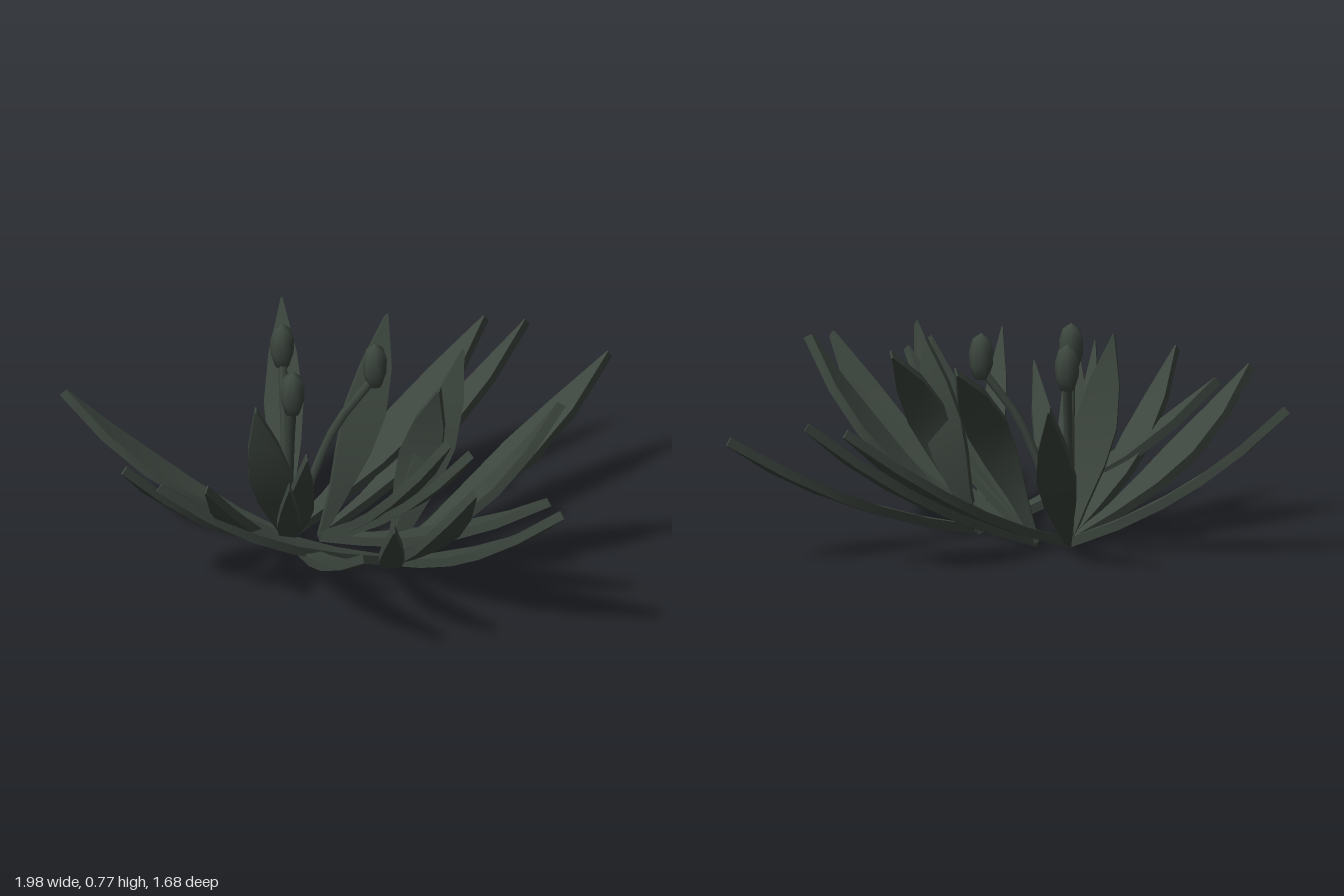
import * as THREE from 'three';
import { toCreasedNormals } from 'three/addons/utils/BufferGeometryUtils.js';

const foliage = new THREE.MeshStandardMaterial({ color: 0x3c453e });
foliage.name = 'dark green';

// Three crowns from which the leaves spread
const BASES = { A: [-0.205, -0.19], B: [-0.09, -0.18], C: [0.13, 0.02] };

// crown, tip x, tip y, tip z, widest width, then optionally roll about the length and bend
const LEAVES = [
  ['A', -0.16, 0.63, -0.83, 0.14], ['A', 0.56, 0.53, -0.79, 0.17],
  ['B', 0.70, 0.54, -0.73, 0.11], ['C', 0.98, 0.46, -0.61, 0.15],
  ['C', 0.73, 0.68, 0.16, 0.18], ['B', 0.18, 0.70, -0.53, 0.15, 2.41, 0.1],
  ['C', 0.42, 0.70, -0.24, 0.14, 2.29, 0.1], ['B', 0.65, 0.48, 0.51, 0.13],
  ['C', 0.67, 0.56, 0.76, 0.16], ['C', 0.37, 0.62, 0.68, 0.12],
  ['B', 0.31, 0.64, 0.34, 0.11], ['B', 0.39, 0.60, 0.35, 0.10],
  ['A', -0.04, 0.45, 0.81, 0.09], ['C', 0.07, 0.57, 0.82, 0.09],
  ['A', -0.20, 0.66, 0.43, 0.10], ['A', -0.27, 0.59, 0.51, 0.08],
  ['A', -0.56, 0.58, 0.48, 0.11], ['C', -0.71, 0.50, 0.30, 0.13],
  ['A', -0.83, 0.56, 0.27, 0.16], ['A', -0.98, 0.54, -0.37, 0.13],
  ['A', -0.35, 0.70, 0.13, 0.15, -0.35], ['C', 0.31, 0.70, 0.04, 0.15, -1.4],
];

// Position along the leaf and share of its widest width
const PROFILE = [[0, 0.13], [0.2, 0.42], [0.4, 0.82], [0.58, 1], [0.78, 0.72], [1, 0.04]];
const THICK = 0.033;

// Thick blade, bowed along its face and narrowing to a tip
function leafGeometry(bx, bz, x, y, z, width, roll = 0, bend = 0.055) {
  const base = new THREE.Vector3(bx, 0.016, bz);
  const chord = new THREE.Vector3(x, y, z).sub(base);
  const axis = chord.clone().normalize();
  const side = new THREE.Vector3(-chord.z, 0, chord.x).normalize().applyAxisAngle(axis, -roll);
  const up = side.clone().cross(axis);
  const pos = [];
  const index = [];
  PROFILE.forEach(([t, share], i) => {
    const centre = base.clone().addScaledVector(chord, t)
      .addScaledVector(up, -4 * bend * t * (1 - t));
    const tangent = chord.clone().addScaledVector(up, -4 * bend * (1 - 2 * t)).normalize();
    const normal = side.clone().cross(tangent);
    for (const [s, n] of [[1, 1], [-1, 1], [-1, -1], [1, -1]]) {
      const p = centre.clone()
        .addScaledVector(side, s * share * width / 2)
        .addScaledVector(normal, n * THICK / 2);
      pos.push(p.x, p.y, p.z);
    }
    if (i === 0) return;
    const a = (i - 1) * 4;
    for (let k = 0; k < 4; k++) {
      const k2 = (k + 1) % 4;
      index.push(a + k, a + 4 + k, a + k2, a + k2, a + 4 + k, a + 4 + k2);
    }
  });
  const e = (PROFILE.length - 1) * 4;
  index.push(0, 1, 2, 0, 2, 3, e, e + 2, e + 1, e, e + 3, e + 2);
  const geo = new THREE.BufferGeometry();
  geo.setAttribute('position', new THREE.Float32BufferAttribute(pos, 3));
  geo.setIndex(index);
  return toCreasedNormals(geo, 0.6);
}

// Bent stalk with an upright seed pod on its end
function budStalk(dx, dz, lean) {
  const group = new THREE.Group();
  group.name = 'budStalk';
  const [bx, bz] = BASES.A;
  const at = (r, y) => new THREE.Vector3(bx + dx * r * lean, y, bz + dz * r * lean);
  const path = new THREE.CatmullRomCurve3(
    [at(0, 0.015), at(0.2, 0.18), at(0.55, 0.45), at(0.85, 0.58), at(1, 0.64)]);
  const stalk = new THREE.Mesh(new THREE.TubeGeometry(path, 8, 0.016, 6), foliage);
  stalk.name = 'stalk';
  const points = [[0, 0], [0.025, 0.005], [0.041, 0.055], [0.043, 0.105],
    [0.03, 0.15], [0, 0.17]].map(([r, y]) => new THREE.Vector2(r, y));
  const pod = new THREE.Mesh(new THREE.LatheGeometry(points, 8), foliage);
  pod.name = 'seedPod';
  pod.position.copy(at(1, 0.6));
  group.add(stalk, pod);
  return group;
}

export function createModel() {
  const model = new THREE.Group();
  model.name = 'leafyPlant';
  for (const [base, ...shape] of LEAVES) {
    const leaf = new THREE.Mesh(leafGeometry(...BASES[base], ...shape), foliage);
    leaf.name = 'leaf';
    model.add(leaf);
  }
  model.add(budStalk(1, 0, 0.31), budStalk(0, 1, 0.18), budStalk(0, -1, 0.18));
  return model;
}
